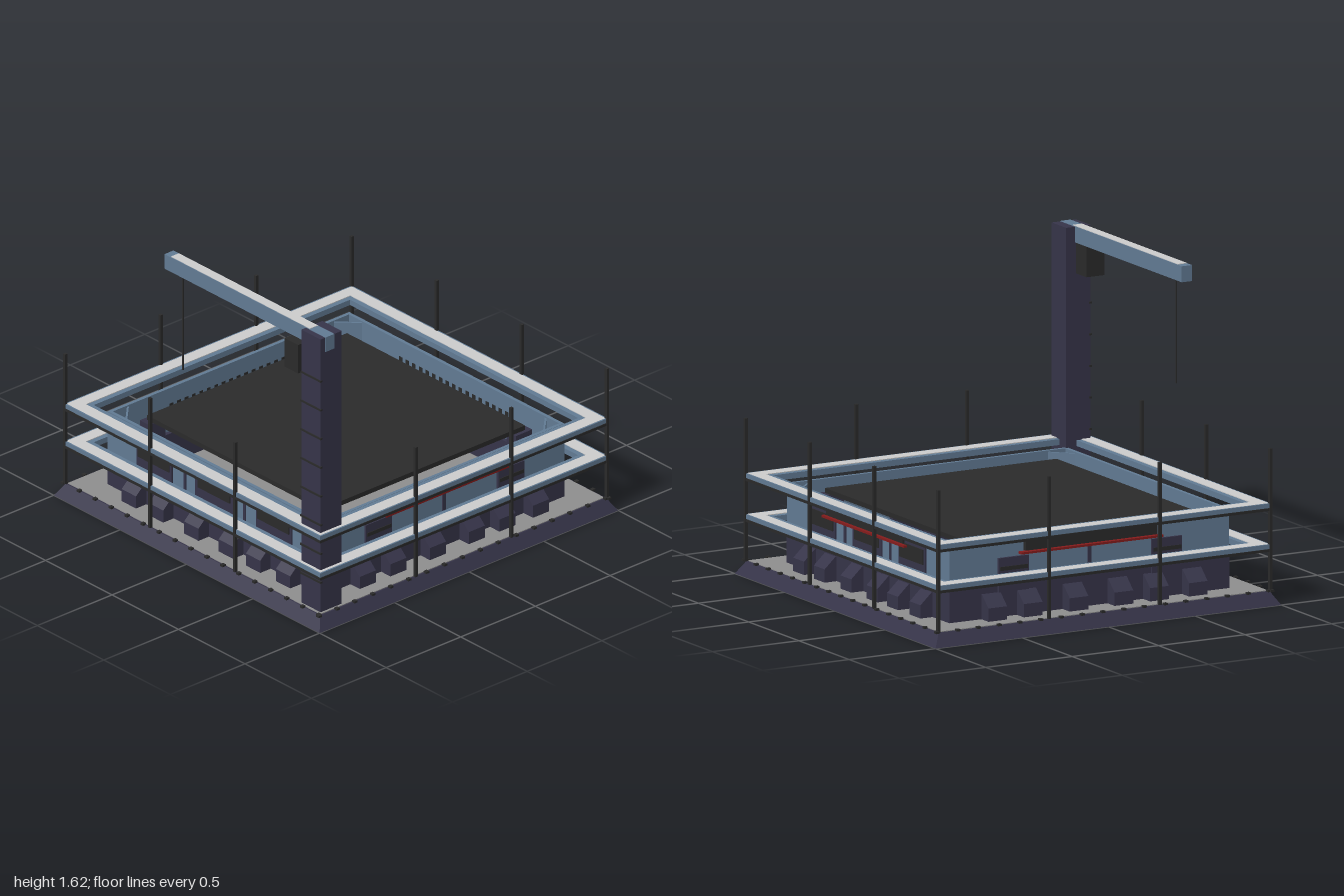
import * as THREE from 'three';

const mat = (name, color) => {
  const m = new THREE.MeshStandardMaterial({ color });
  m.name = name;
  return m;
};

export function createModel() {
  const purple = mat('dark purple steel', 0x363449);
  const blue = mat('steel blue', 0x617a93);
  const dark = mat('charcoal', 0x2a2a2a);
  const grey = mat('concrete grey', 0x8e8e8e);
  const light = mat('light grey', 0xcccccc);
  const red = mat('red trim', 0x841c1c);

  const model = new THREE.Group();
  model.name = 'craneBuilding';

  const add = (name, geo, material, parent = model) => {
    const m = new THREE.Mesh(geo, material);
    m.name = name;
    parent.add(m);
    return m;
  };
  // Box given by its two extreme corners
  const box = (name, material, x0, x1, y0, y1, z0, z1, parent = model) => {
    const g = new THREE.BoxGeometry(x1 - x0, y1 - y0, z1 - z0);
    g.translate((x0 + x1) / 2, (y0 + y1) / 2, (z0 + z1) / 2);
    return add(name, g, material, parent);
  };
  // Square outline with optional cut corners
  const outline = (r, c, Type) => {
    const k = r - c;
    const pts = c > 0
      ? [[k, -r], [r, -k], [r, k], [k, r], [-k, r], [-r, k], [-r, -k], [-k, -r]]
      : [[r, -r], [r, r], [-r, r], [-r, -r]];
    return new Type(pts.map(p => new THREE.Vector2(...p)));
  };
  // Square frame between two radii, from y0 to y1
  const frame = (name, material, outer, inner, y0, y1, cutIn = 0) => {
    const s = outline(outer, 0, THREE.Shape);
    s.holes.push(outline(inner, cutIn, THREE.Path));
    const g = new THREE.ExtrudeGeometry(s, { depth: y1 - y0, bevelEnabled: false });
    g.rotateX(-Math.PI / 2).translate(0, y0, 0);
    return add(name, g, material);
  };

  // Sloped foundation with deck
  const base = new THREE.CylinderGeometry(0.957 * Math.SQRT2, Math.SQRT2, 0.068, 4, 1).toNonIndexed();
  base.rotateY(Math.PI / 4).translate(0, 0.034, 0);
  base.computeVertexNormals();
  add('foundation', base, purple);
  box('deck', grey, -0.95, 0.95, 0.066, 0.072, -0.95, 0.95);

  // Walls: thick plinth and thin upper wall
  frame('plinthWall', purple, 0.81, 0.768, 0.07, 0.24, 0.13);
  frame('upperWall', blue, 0.809, 0.79, 0.24, 0.482);

  // Landing plate on corner supports, diagonal panels in the wall corners
  box('landingPlate', dark, -0.67, 0.67, 0.44, 0.465, -0.67, 0.67);
  for (const sx of [-1, 1]) for (const sz of [-1, 1]) {
    const x = sx * 0.655, z = sz * 0.645;
    box('plateSupport', purple, x - 0.035, x + 0.035, 0.07, 0.44, z - 0.055, z + 0.055);
    box('cornerPad', purple, sx * 0.72 - 0.05, sx * 0.72 + 0.05, 0.07, 0.235,
      sz * 0.72 - 0.05, sz * 0.72 + 0.05);
    const panel = box('cornerPanel', blue, -0.07, 0.07, 0.24, 0.475, -0.005, 0.005);
    panel.position.set(sx * 0.74, 0, sz * 0.74);
    panel.rotation.y = sx * sz * Math.PI / 4;
  }

  // Sloped buttress profile (depth, height), extruded across its width
  const prof = new THREE.Shape([[0, 0], [0.08, 0], [0.08, 0.07], [0.015, 0.13], [0, 0.13]]
    .map(p => new THREE.Vector2(...p)));
  const buttress = new THREE.ExtrudeGeometry(prof, { depth: 0.108, bevelEnabled: false });
  buttress.translate(0, 0, -0.054).rotateY(-Math.PI / 2).translate(0, 0.07, 0.8);

  // Four facades, each built facing +z and turned into place
  for (let i = 0; i < 4; i++) {
    const f = new THREE.Group();
    f.name = 'facade' + (i + 1);
    f.rotation.y = i * Math.PI / 2;
    model.add(f);
    for (const x of [-0.57, -0.365, -0.1, 0.16, 0.365, 0.59])
      add('buttress', buttress, purple, f).position.x = x;

    // Awning with red strip
    box('awning', dark, -0.38, 0.38, 0.4, 0.45, 0.8, 0.832, f);
    box('awningTrim', red, -0.41, 0.41, 0.385, 0.396, 0.8, 0.842, f);

    if (i % 2 === 0) {
      // Wide window bays
      for (const s of [-1, 1]) {
        const c = s * 0.45;
        box('windowBay', purple, c - 0.133, c + 0.133, 0.2, 0.42, 0.8, 0.818, f);
        box('windowPane', dark, c - 0.118, c + 0.118, 0.325, 0.402, 0.81, 0.823, f);
        box('mullion', purple, s * 0.225 - 0.008, s * 0.225 + 0.008, 0.24, 0.385, 0.8, 0.815, f);
      }
      box('centreBay', purple, -0.145, 0.145, 0.2, 0.385, 0.8, 0.815, f);
      box('centrePane', dark, -0.12, 0.12, 0.325, 0.38, 0.81, 0.82, f);
    } else {
      // Side vents
      for (const s of [-1, 1]) {
        const c = s * 0.443;
        box('sideVent', purple, c - 0.087, c + 0.087, 0.2, 0.375, 0.8, 0.822, f);
        for (const y of [0.32, 0.255])
          box('ventSlot', dark, c - 0.08, c + 0.08, y - 0.01, y + 0.01, 0.815, 0.826, f);
      }
      box('mullion', purple, -0.01, 0.01, 0.24, 0.385, 0.8, 0.815, f);
    }

    // Interior pilaster and grille
    box('pilaster', purple, -0.037, 0.037, 0.07, 0.24, 0.64, 0.775, f);
    for (let k = 0; k < 17; k++) {
      const x = -0.4 + k * 0.05;
      box('grilleBar', dark, x - 0.012, x + 0.012, 0.355, 0.395, 0.788, 0.795, f);
    }

    // Deck bolts and fence posts; the crane mast takes one corner
    for (let k = 0; k < 17; k++) {
      const x = -0.97 + k * 0.12;
      box('bolt', dark, x - 0.01, x + 0.01, 0.066, 0.077, 0.952, 0.972, f);
    }
    for (const x of i === 0 ? [-0.32, 0.32] : [-0.32, 0.32, 0.96])
      box('fencePost', dark, x - 0.008, x + 0.008, 0.07, 0.8, 0.952, 0.968, f);
  }

  // Two levels of perimeter rail: open channel, light tread, dark outer bar
  for (const y of [0.305, 0.515]) {
    frame('railInnerWeb', blue, 0.888, 0.858, y - 0.03, y);
    frame('railOuterWeb', blue, 0.963, 0.95, y - 0.02, y + 0.003);
    frame('railTread', light, 0.955, 0.886, y - 0.003, y + 0.004);
    frame('railBar', dark, 0.967, 0.95, y - 0.034, y - 0.02);
  }

  // Crane mast with rungs
  const crane = new THREE.Group();
  crane.name = 'crane';
  model.add(crane);
  box('mast', purple, 0.793, 0.938, 0.07, 1.61, 0.797, 0.938, crane);
  for (let k = 0; k < 8; k++) {
    const y = 0.24 + k * 0.162;
    box('rung', dark, 0.788, 0.943, y - 0.005, y + 0.005, 0.93, 0.943, crane);
  }

  // Crane arm, motor box and cable
  box('arm', blue, -0.27, 0.941, 1.53, 1.612, 0.848, 0.908, crane);
  box('armTop', light, -0.225, 0.82, 1.61, 1.615, 0.852, 0.904, crane);
  box('motorBox', dark, 0.69, 0.793, 1.37, 1.53, 0.855, 0.96, crane);
  box('cable', dark, -0.168, -0.162, 0.99, 1.53, 0.875, 0.881, crane);

  return model;
}
